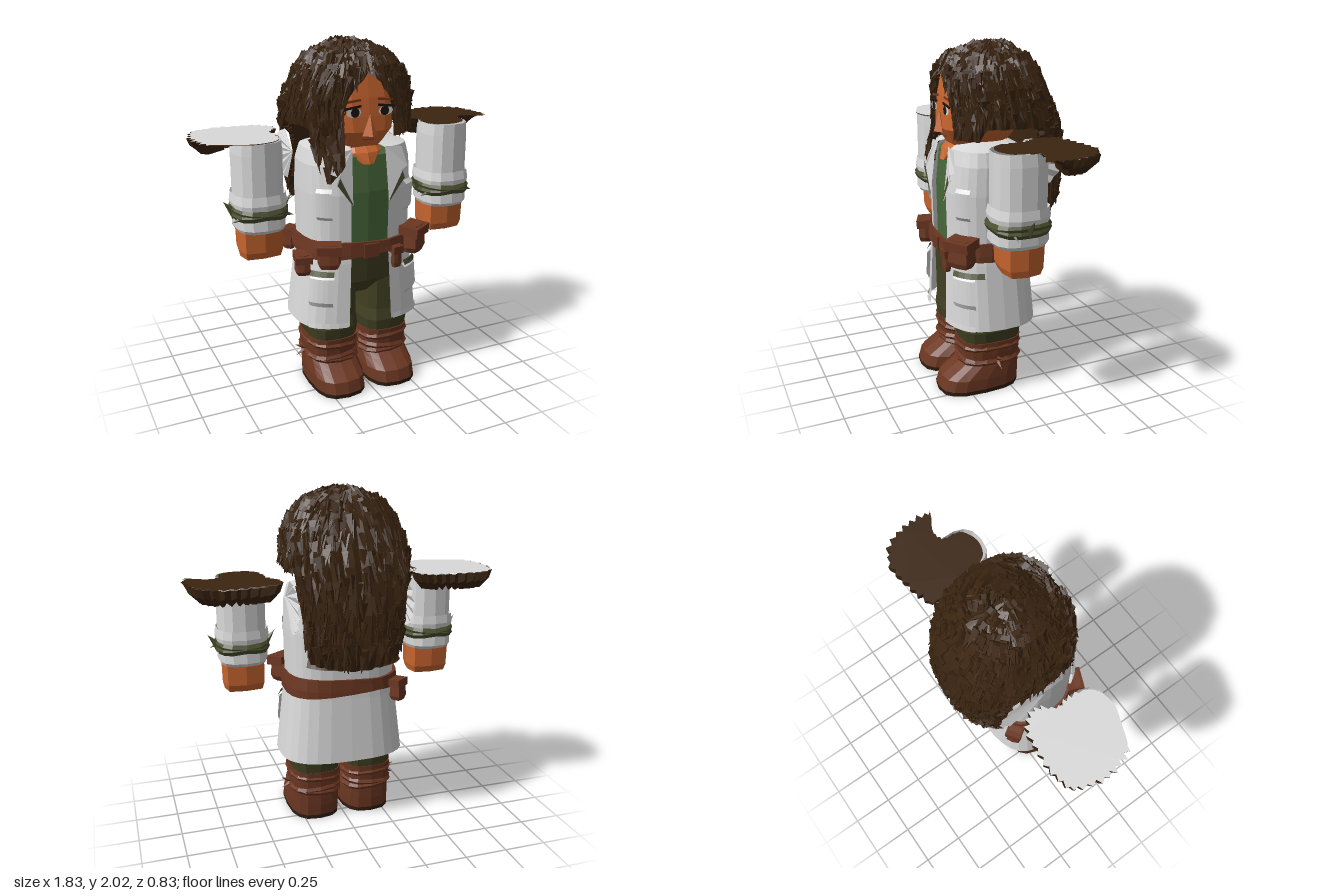
import * as THREE from 'three';
import { mergeGeometries } from 'three/addons/utils/BufferGeometryUtils.js';

const mat = (name, color) => new THREE.MeshStandardMaterial({ name, color, flatShading: true, side: THREE.DoubleSide });
const M = {
  hair: mat('dark brown hair', 0x3b2511), skin: mat('tan skin', 0xc8652f), coat: mat('white cloth', 0xdadada),
  shirt: mat('green shirt', 0x48683a), trousers: mat('olive trousers', 0x414022), leather: mat('brown leather', 0x6c3722),
  sole: mat('dark sole', 0x2e1d10), eye: mat('dark eye', 0x1c1512), trim: mat('olive trim', 0x4c5030), brow: mat('brow brown', 0x7a3a1c),
};
let seed = 7;
const rnd = () => (seed = (seed * 16807) % 2147483647) / 2147483647;
const jit = (s) => (rnd() - 0.5) * 2 * s;
const rad = THREE.MathUtils.degToRad;
const spow = (v, e) => Math.sign(v) * Math.abs(v) ** e;

// Point on a squarish ring: row = [y, halfWidth, zFront, zBack], angle 0 is the front, 90 is +x
function ringPoint([y, w, zf, zb], deg, e) {
  const a = rad(deg);
  return [w * spow(Math.sin(a), e), y, (zf + zb) / 2 + (zf - zb) / 2 * spow(Math.cos(a), e)];
}
// Surface through a grid of points, point(row, column)
function grid(rows, cols, point) {
  const pos = [], idx = [];
  for (let i = 0; i <= rows; i++) for (let j = 0; j <= cols; j++) pos.push(...point(i, j));
  for (let i = 0; i < rows; i++) for (let j = 0; j < cols; j++) {
    const a = i * (cols + 1) + j, b = a + cols + 1;
    idx.push(a, b, b + 1, a, b + 1, a + 1);
  }
  const g = new THREE.BufferGeometry();
  g.setAttribute('position', new THREE.Float32BufferAttribute(pos, 3));
  g.setIndex(idx);
  const flat = g.toNonIndexed();
  flat.computeVertexNormals();
  return flat;
}
const loft = (rows, segs = 16, e = 0.75, a0 = 0, a1 = 360) =>
  grid(rows.length - 1, segs, (i, j) => ringPoint(rows[i], (a0 + (a1 - a0) * (j % segs === 0 && a1 - a0 === 360 ? 0 : j / segs)), e));
// Flat polygon from 3D corners
function plate(pts) {
  const g = new THREE.BufferGeometry(), pos = [];
  for (let i = 1; i < pts.length - 1; i++) pos.push(...pts[0], ...pts[i], ...pts[i + 1]);
  g.setAttribute('position', new THREE.Float32BufferAttribute(pos, 3));
  g.computeVertexNormals();
  return g;
}
function add(parent, name, geo, material, x = 0, y = 0, z = 0) {
  const m = new THREE.Mesh(geo, material);
  m.name = name;
  m.position.set(x, y, z);
  parent.add(m);
  return m;
}
const spike = (r, h) => new THREE.ConeGeometry(r, h, 4);

// Hair profile by height, and the height of its lower edge by angle
const HAIR = [[1.98, 0.01, 0.03, 0.0], [1.96, 0.13, 0.14, -0.12], [1.9, 0.24, 0.26, -0.2], [1.82, 0.3, 0.31, -0.25], [1.72, 0.34, 0.31, -0.29],
  [1.62, 0.35, 0.31, -0.34], [1.5, 0.34, 0.32, -0.38], [1.35, 0.32, 0.37, -0.395], [1.15, 0.32, 0.38, -0.375], [0.95, 0.3, 0.36, -0.32]];
const HEM = [[0, 1.85], [8, 1.8], [16, 1.73], [20, 1.65], [23, 1.5], [56, 1.5], [62, 1.57], [112, 1.56], [118, 1.2], [128, 1.06], [180, 1.03]];
function lerpTable(t, v) {
  let i = 0;
  const s = Math.sign(t[1][0] - t[0][0]);
  while (i < t.length - 2 && (v - t[i + 1][0]) * s > 0) i++;
  const k = THREE.MathUtils.clamp((v - t[i][0]) / (t[i + 1][0] - t[i][0]), 0, 1);
  return t[i].map((c, n) => c + (t[i + 1][n] - c) * k);
}
function hem(deg) {
  const a = ((deg + 540) % 360) - 180;
  if (a < -23 && a > -56) return 1.26 + Math.abs(a + 42) * 0.006;
  return lerpTable(HEM, Math.abs(a))[1];
}
const hairPoint = (deg, y) => ringPoint(lerpTable(HAIR, y), deg, 0.8);

function buildHair(parent) {
  const COLS = 90;
  const shell = grid(14, COLS, (i, j) => {
    const deg = (j % COLS) * 4, t = (i / 14) ** 1.25;
    const p = hairPoint(deg, 1.98 + (hem(deg) - 1.98) * t);
    const k = 1 + (j % 3 === 0 ? -0.04 : 0.015);
    return [p[0] * k, p[1], p[2] * k];
  });
  add(parent, 'hairShell', shell, M.hair);
  add(parent, 'backHairLining', loft([[1.52, 0.28, 0, -0.22], [1.1, 0.28, 0, -0.22], [1.04, 0.31, 0.2, -0.34]], 16, 0.8, 118, 242), M.hair);
  // Curls lying along the shell
  const curls = [], up = new THREE.Vector3(0, 1, 0);
  for (let n = 0; n < 1300; n++) {
    const deg = rnd() * 360, low = hem(deg), y = 1.975 + (low + 0.04 - 1.975) * rnd() ** 1.15;
    const p = new THREE.Vector3(...hairPoint(deg, y)), q = new THREE.Vector3(...hairPoint(deg, y - 0.03));
    const dir = q.sub(p).normalize();
    dir.add(new THREE.Vector3(p.x, 0, p.z).normalize().multiplyScalar(0.2 + rnd() * 0.2));
    dir.x += jit(0.25);
    dir.normalize();
    const g = spike(0.024 + rnd() * 0.014, 0.08 + rnd() * 0.05);
    g.rotateY(rnd() * 3);
    g.applyQuaternion(new THREE.Quaternion().setFromUnitVectors(up, dir));
    curls.push(g.translate(p.x, p.y, p.z));
  }
  add(parent, 'hairCurls', mergeGeometries(curls), M.hair);
}

function buildHead(parent) {
  add(parent, 'head', loft([[1.9, 0.02, 0.1, 0], [1.86, 0.17, 0.27, -0.12], [1.72, 0.2, 0.295, -0.15], [1.62, 0.2, 0.305, -0.15],
    [1.54, 0.185, 0.31, -0.13], [1.47, 0.14, 0.27, -0.08], [1.42, 0.1, 0.24, -0.04]], 20, 0.6), M.skin);
  add(parent, 'neck', loft([[1.48, 0.1, 0.23, -0.02], [1.42, 0.13, 0.29, -0.02], [1.36, 0.06, 0.315, 0]], 14), M.skin);
  const nose = add(parent, 'nose', spike(0.045, 0.12), M.skin, 0, 1.58, 0.312);
  nose.scale.z = 0.8;
  for (const s of [-1, 1]) {
    add(parent, 'eyeWhite', new THREE.CircleGeometry(0.04, 10).scale(1.1, 0.65, 1), M.coat, s * 0.095, 1.65, 0.309);
    add(parent, 'iris', new THREE.CircleGeometry(0.026, 10), M.eye, s * 0.088, 1.65, 0.312);
    add(parent, 'upperLid', new THREE.BoxGeometry(0.1, 0.012, 0.006), M.eye, s * 0.1, 1.677, 0.307).rotation.z = -s * 0.12;
    add(parent, 'eyebrow', new THREE.BoxGeometry(0.09, 0.012, 0.006), M.brow, s * 0.095, 1.71, 0.3).rotation.z = -s * 0.1;
  }
  add(parent, 'mouth', new THREE.BoxGeometry(0.07, 0.008, 0.006), M.brow, 0, 1.495, 0.288);
}

function pouch(parent, x, y, z, w, h, d, turn) {
  const g = new THREE.Group();
  g.name = 'beltPouch';
  g.position.set(x, y, z);
  g.rotation.y = turn;
  parent.add(g);
  const body = loft([[h / 2, 0, 0, 0], [h / 2, w * 0.42, d * 0.42, -d * 0.42], [-h * 0.3, w / 2, d / 2, -d / 2], [-h / 2, w * 0.4, d * 0.4, -d * 0.4], [-h / 2, 0, 0, 0]], 8, 0.5);
  add(g, 'pouchBody', body, M.leather);
  add(g, 'pouchFlap', new THREE.BoxGeometry(w * 1.05, h * 0.35, d * 1.02), M.leather, 0, h * 0.32, 0.005).rotation.x = 0.08;
}

function buildBody(parent) {
  add(parent, 'shirt', loft([[1.45, 0.08, 0.2, 0], [1.4, 0.26, 0.285, -0.1], [1.2, 0.28, 0.305, -0.13], [0.82, 0.28, 0.3, -0.13]]), M.shirt);
  add(parent, 'hips', loft([[0.86, 0.29, 0.305, -0.13], [0.66, 0.3, 0.29, -0.13], [0.57, 0.24, 0.22, -0.06], [0.57, 0, 0.1, 0.1]]), M.trousers);
  const C = [[1.47, 0.16, 0.2, -0.06], [1.44, 0.3, 0.29, -0.12], [1.36, 0.32, 0.31, -0.15], [1.2, 0.325, 0.33, -0.17], [0.9, 0.32, 0.325, -0.165],
    [0.8, 0.335, 0.335, -0.17], [0.42, 0.38, 0.35, -0.2]];
  add(parent, 'coat', loft(C, 26, 0.7, 13, 347), M.coat);
  const out = (y, k) => { const [, w, f, b] = lerpTable(C, y); return [y, w + k, f + k, b - k]; };
  for (const s of [-1, 1]) {
    const arc = (rows, a, b) => loft(rows, 5, 0.7, s * a, s * b);
    add(parent, 'coatPocket', arc([out(0.74, 0.002), out(0.72, 0.02), out(0.58, 0.018), out(0.55, 0.002)], 30, 62), M.coat);
    add(parent, 'pocketTrim', arc([out(0.765, 0.012), out(0.735, 0.022)], 30, 75), M.trim);
    add(parent, 'coatHem', arc([out(0.45, 0.006), out(0.42, 0.008)], 14, 60), M.coat);
    // Lapel with its trim
    const L = [[0.1, 1.45, 0.3], [0.2, 1.44, 0.305], [0.235, 1.33, 0.315], [0.19, 1.31, 0.33], [0.205, 1.27, 0.33], [0.11, 1.14, 0.338]].map(([x, y, z]) => [s * x, y, z]);
    add(parent, 'lapel', plate(L), M.coat);
    const edge = [[0.19, 1.31], [0.205, 1.27], [0.11, 1.14], [0.115, 1.16], [0.19, 1.27]].map(([x, y]) => [s * x, y, 0.341]);
    add(parent, 'lapelTrim', plate(edge), M.trim);
    add(parent, 'chestPocket', arc([out(1.24, 0.004), out(1.22, 0.02), out(1.08, 0.015), out(1.06, 0.002)], 34, 56), M.coat);
    // Pleated shoulder cap
    const rim = [];
    for (let i = 0; i <= 14; i++) {
      const a = rad(75 + i * 14), r = 0.17 + jit(0.012);
      rim.push([s * (0.325 + (i % 2) * 0.015), 1.36 + Math.sin(a) * r * 0.85, -0.1 + Math.cos(a) * r]);
    }
    add(parent, 'shoulderCap', plate([[s * 0.335, 1.4, 0.02], ...rim]), M.coat);
  }
  // Two crossing belts
  for (const [tilt, y] of [[0.05, 0.885], [-0.06, 0.875]]) {
    const b = add(parent, 'belt', loft([[0.035, 0.325, 0.33, -0.17], [0.035, 0.34, 0.345, -0.185], [-0.035, 0.345, 0.35, -0.19], [-0.035, 0.325, 0.33, -0.17]], 26, 0.7), M.leather, 0, y, 0);
    b.rotation.z = tilt;
    b.rotation.x = tilt * 0.5;
  }
  pouch(parent, -0.25, 0.87, 0.325, 0.13, 0.14, 0.09, -0.4);
  pouch(parent, -0.36, 0.8, 0.2, 0.09, 0.12, 0.12, -0.2);
  pouch(parent, 0.29, 0.89, 0.3, 0.15, 0.16, 0.12, 0.6);
  pouch(parent, 0.16, 0.81, 0.345, 0.06, 0.13, 0.04, 0.1);
  pouch(parent, -0.3, 0.83, -0.15, 0.09, 0.13, 0.08, 0.6);
  add(parent, 'buckle', new THREE.BoxGeometry(0.09, 0.08, 0.02), M.leather, 0, 0.87, 0.345);
}

function buildLeg(parent, s) {
  const g = new THREE.Group();
  g.name = s > 0 ? 'leftLeg' : 'rightLeg';
  g.position.x = s * 0.165;
  parent.add(g);
  add(g, 'trouserLeg', loft([[0.75, 0.145, 0.28, -0.1], [0.45, 0.145, 0.275, -0.085], [0.38, 0.155, 0.285, -0.09], [0.28, 0.14, 0.27, -0.08]], 14, 0.65), M.trousers);
  add(g, 'boot', loft([[0.31, 0.13, 0.26, -0.07], [0.315, 0.155, 0.285, -0.09], [0.24, 0.153, 0.275, -0.085], [0.17, 0.147, 0.27, -0.08], [0.135, 0.15, 0.32, -0.08],
    [0.09, 0.155, 0.39, -0.08], [0.02, 0.155, 0.41, -0.075]], 16, 0.7), M.leather);
  add(g, 'sole', loft([[0.025, 0.157, 0.412, -0.077], [0, 0.155, 0.41, -0.075], [0, 0, 0.17, 0.17]], 16, 0.7), M.sole);
  for (const [y, t] of [[0.27, 0.05], [0.2, -0.08], [0.18, 0.07]]) {
    add(g, 'bootStrap', loft([[0.018, 0.15, 0.28, -0.085], [0, 0.163, 0.29, -0.095], [-0.018, 0.15, 0.28, -0.085]], 14, 0.7), M.leather, 0, y, 0).rotation.z = s * t;
  }
  for (const t of [-0.5, 0.4]) add(g, 'strapEnd', spike(0.02, 0.08), M.leather, s * 0.17, 0.2 + t * 0.04, 0.09).rotation.z = -s * (1.57 - t);
}

function buildArm(parent, s) {
  const g = new THREE.Group();
  g.name = s > 0 ? 'leftArm' : 'rightArm';
  g.position.set(s * 0.578 - 0.002, 0, 0.1);
  parent.add(g);
  add(g, 'sleeve', loft([[1.515, 0.13, 0.145, -0.14], [1.45, 0.136, 0.145, -0.145], [1.2, 0.136, 0.145, -0.145]], 14, 0.8), M.coat);
  add(g, 'cuff', loft([[1.2, 0.12, 0.13, -0.13], [1.23, 0.145, 0.15, -0.155], [1.18, 0.152, 0.16, -0.16], [1.12, 0.142, 0.15, -0.15],
    [1.04, 0.14, 0.155, -0.155], [1.02, 0.13, 0.14, -0.14], [1.03, 0.1, 0.1, -0.1]], 14, 0.75), M.coat);
  for (const t of [-0.12, 0.1]) add(g, 'cuffBand', loft([[0.025, 0.145, 0.155, -0.155], [0, 0.158, 0.168, -0.168], [-0.025, 0.145, 0.155, -0.155]], 14, 0.75), M.trim, 0, 1.125, 0).rotation.z = t;
  for (const t of [-1, 1]) {
    add(g, 'bandTip', spike(0.03, 0.11), M.trim, t * 0.16, 1.145, 0).rotation.z = -t * 0.7;
    add(g, 'bandTip', spike(0.02, 0.08), M.trim, t * 0.14, 1.1, 0.08).rotation.z = -t * 1.9;
  }
  add(g, 'hand', loft([[1.03, 0.125, 0.11, -0.12], [0.9, 0.122, 0.105, -0.115], [0.86, 0.112, 0.09, -0.1], [0.86, 0.07, 0.06, -0.06],
    [0.91, 0.06, 0.05, -0.05], [0.91, 0, 0, 0]], 8, 0.45), M.skin);
}

// Flat ragged fan on top of each arm with hair hanging below its back edge
function buildFan(parent, s, outline, material) {
  const curve = new THREE.CatmullRomCurve3(outline.map(([x, z]) => new THREE.Vector3(x, 0, z)), true);
  const N = 72, pts = curve.getPoints(N).slice(0, N), c = [s * 0.64, -0.02];
  const ragged = pts.map((p, i) => {
    const k = p.z > 0.16 ? 1 : 1 + (i % 2 ? -0.07 : 0.03) + jit(0.03);
    return [c[0] + (p.x - c[0]) * k, c[1] + (p.z - c[1]) * k];
  });
  const flat = new THREE.Shape(ragged.map(([x, z]) => new THREE.Vector2(x, -z)));
  add(parent, 'shoulderFan', new THREE.ShapeGeometry(flat).rotateX(-Math.PI / 2), material, 0, 1.52, 0);
  const under = grid(4, N, (i, j) => {
    const [x, z] = ragged[j % N], k = [1, 0.94, 0.82, 0.65, 0.3][i];
    const depth = THREE.MathUtils.clamp(0.06 - z * 0.8, 0, 0.1) * [0, 0.5, 0.85, 0.9, 0.7][i];
    return [c[0] + (x - c[0]) * k, 1.516 - depth * (0.8 + 0.35 * (j % 2)), c[1] + (z - c[1]) * k - (i ? 0.01 : 0)];
  });
  add(parent, 'fanHair', under, M.hair);
}

export function createModel() {
  const root = new THREE.Group();
  root.name = 'figure';
  const body = new THREE.Group();
  body.name = 'body';
  body.position.x = -0.005;
  root.add(body);
  buildBody(body);
  buildHead(body);
  buildHair(body);
  for (const s of [-1, 1]) {
    buildLeg(body, s);
    buildArm(root, s);
  }
  buildFan(root, 1, [[0.38, -0.08], [0.41, -0.21], [0.53, -0.24], [0.67, -0.27], [0.81, -0.23], [0.88, -0.12], [0.9, 0], [0.88, 0.1], [0.77, 0.05],
    [0.7, 0.07], [0.68, 0.17], [0.58, 0.22], [0.48, 0.19], [0.44, 0.08], [0.44, 0.0]], M.hair);
  buildFan(root, -1, [[-0.4, -0.1], [-0.45, -0.19], [-0.58, -0.23], [-0.74, -0.23], [-0.86, -0.19], [-0.9, -0.06], [-0.9, 0.06], [-0.84, 0.16],
    [-0.73, 0.21], [-0.62, 0.245], [-0.5, 0.21], [-0.45, 0.1], [-0.46, 0.0]], M.coat);
  return root;
}
